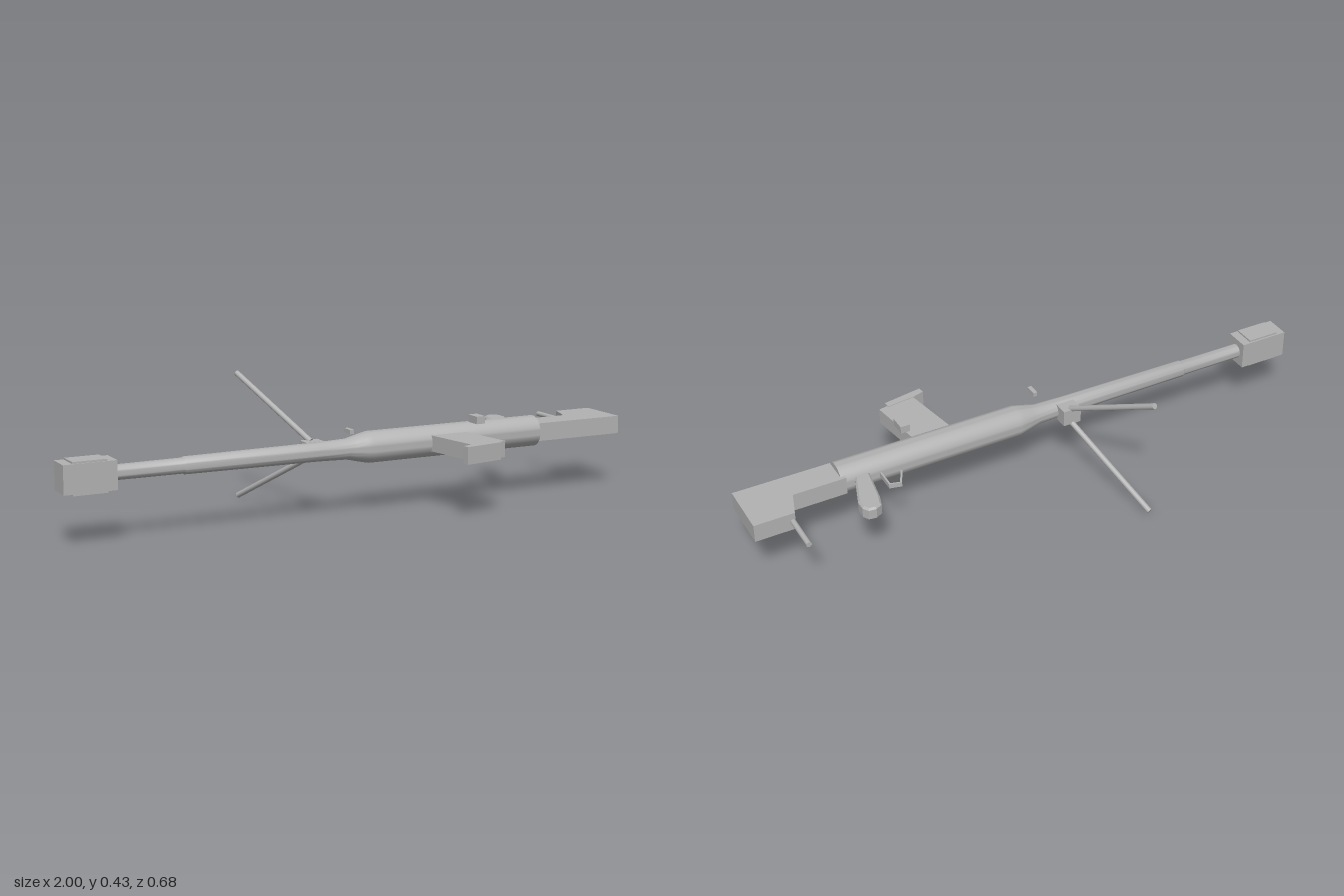
import * as THREE from 'three';
import { toCreasedNormals } from 'three/addons/utils/BufferGeometryUtils.js';

const AXIS_Y = 0.223, AXIS_Z = 0.06;

export function createModel() {
  const model = new THREE.Group();
  const grey = new THREE.MeshStandardMaterial({ color: 0xb2b2b2 });
  grey.name = 'plain grey';

  const add = (name, geometry) => {
    const mesh = new THREE.Mesh(geometry, grey);
    mesh.name = name;
    model.add(mesh);
    return mesh;
  };

  // box from its limits on each axis
  const box = (name, [x0, x1], [y0, y1], [z0, z1]) =>
    add(name, new THREE.BoxGeometry(x1 - x0, y1 - y0, z1 - z0))
      .position.set((x0 + x1) / 2, (y0 + y1) / 2, (z0 + z1) / 2);

  // outline in x and z, extruded upward and centred on the axis height
  const slab = (name, outline, thickness, bevel = 0) => {
    const shape = new THREE.Shape(outline.map(([x, z]) => new THREE.Vector2(x, -z)));
    const geometry = new THREE.ExtrudeGeometry(shape, {
      depth: thickness - 2 * bevel, bevelEnabled: bevel > 0, bevelSize: bevel,
      bevelThickness: bevel, bevelOffset: -bevel, bevelSegments: 1,
    });
    geometry.rotateX(-Math.PI / 2);
    geometry.translate(0, AXIS_Y - thickness / 2 + bevel, 0);
    return add(name, geometry);
  };

  // round bar between two points
  const bar = (name, from, to, radius) => {
    const a = new THREE.Vector3(...from), b = new THREE.Vector3(...to);
    const dir = b.clone().sub(a);
    const mesh = add(name, new THREE.CylinderGeometry(radius, radius, dir.length(), 16));
    mesh.position.copy(a).add(b).multiplyScalar(0.5);
    mesh.quaternion.setFromUnitVectors(new THREE.Vector3(0, 1, 0), dir.normalize());
  };

  // barrel flowing into the round receiver
  const profile = [
    [0, -0.84], [0.024, -0.84], [0.025, -0.605], [0.028, -0.6], [0.031, -0.14],
    [0.034, -0.04], [0.040, -0.015], [0.048, 0.02], [0.052, 0.04], [0.052, 0.675], [0, 0.675],
  ].map(([r, x]) => new THREE.Vector2(r, x));
  const barrel = toCreasedNormals(new THREE.LatheGeometry(profile, 40), 0.6);
  barrel.rotateZ(-Math.PI / 2);
  add('barrelAndReceiver', barrel).position.set(0, AXIS_Y, AXIS_Z);

  // muzzle brake with raised side plates
  box('muzzleBrake', [-1, -0.83], [0.177, 0.269], [0.018, 0.102]);
  box('muzzlePlates', [-0.97, -0.86], [0.171, 0.275], [0.024, 0.098]);

  // shoulder stock and its rear support
  slab('stock', [[0.66, 0.102], [1, 0.105], [1, -0.077], [0.866, -0.077], [0.838, 0.007], [0.66, 0.007]], 0.061);
  bar('rearSupport', [0.874, AXIS_Y, -0.06], [0.874, AXIS_Y, -0.202], 0.0088);

  // magazine with a lipped base
  slab('magazine', [[0.25, 0.09], [0.385, 0.09], [0.416, 0.296], [0.386, 0.302], [0.288, 0.306]], 0.053);
  slab('magazineBase', [[0.247, 0.318], [0.288, 0.306], [0.384, 0.295], [0.386, 0.318], [0.25, 0.34]], 0.057);

  // hand grip
  slab('grip', [
    [0.58, 0.012], [0.63, 0.012], [0.655, -0.06], [0.672, -0.108], [0.672, -0.14], [0.66, -0.16],
    [0.635, -0.163], [0.612, -0.15], [0.6, -0.11], [0.592, -0.06],
  ], 0.045, 0.006);

  // trigger guard strip
  const guard = [[0.478, -0.012], [0.506, -0.07], [0.546, -0.06], [0.546, 0.02]];
  const inner = [[0.54, 0.02], [0.54, -0.056], [0.51, -0.064], [0.484, -0.01]];
  slab('triggerGuard', [...guard, ...inner], 0.016);

  // offset sights
  box('rearSight', [0.396, 0.428], [0.282, 0.307], [0.1, 0.153]);
  box('frontSight', [-0.054, -0.04], [0.282, 0.296], [0.077, 0.118]);

  // bipod
  box('bipodMount', [-0.17, -0.107], [0.195, 0.251], [-0.01, 0.04]);
  for (const side of [1, -1]) {
    bar('bipodLeg', [-0.138, AXIS_Y + side * 0.024, 0.005], [-0.245, AXIS_Y + side * 0.209, -0.335], 0.0095);
  }

  return model;
}
